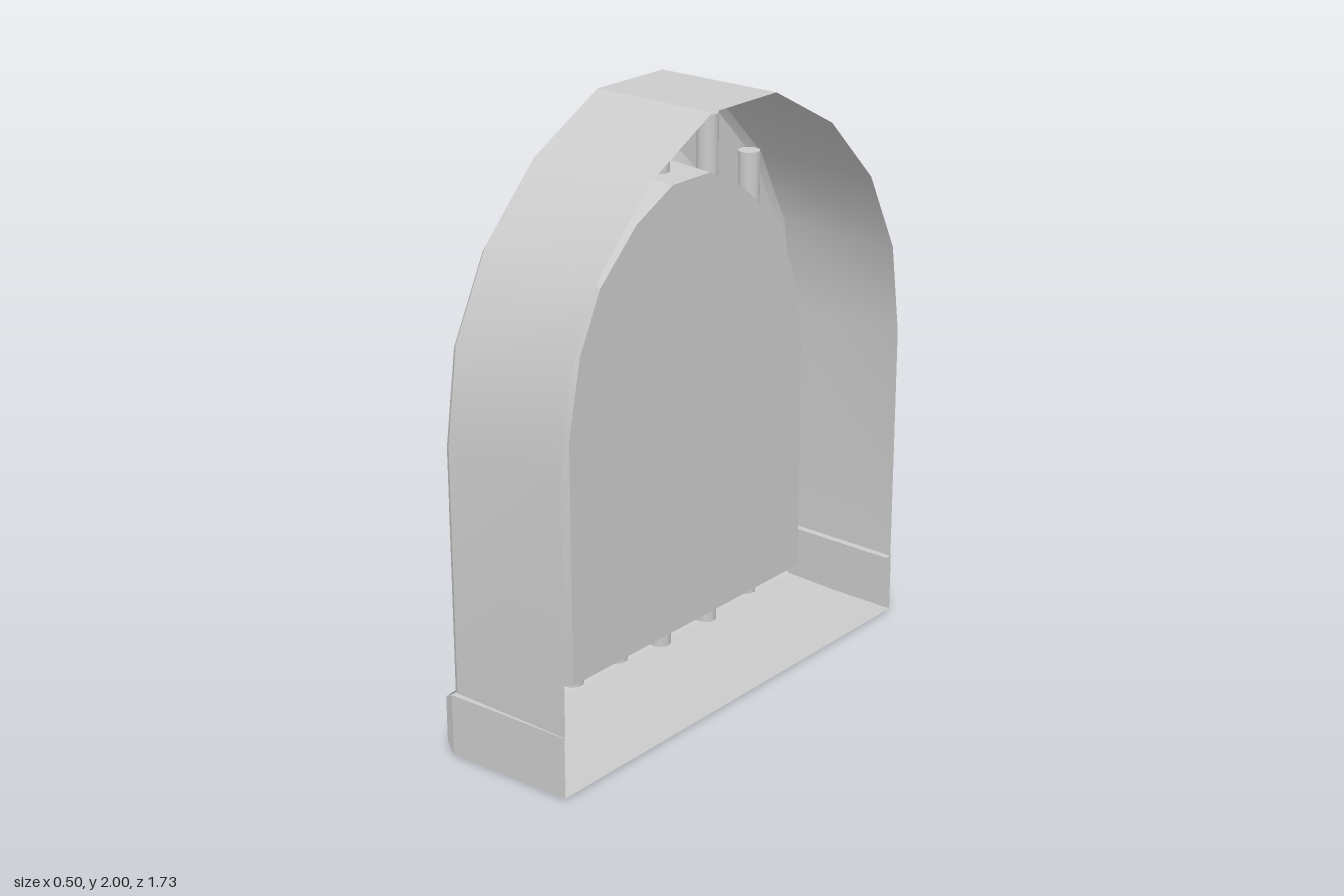
import * as THREE from 'three';
import { toCreasedNormals } from 'three/addons/utils/BufferGeometryUtils.js';

const material = new THREE.MeshStandardMaterial({ color: 0xcccccc, side: THREE.DoubleSide });

// Half outlines as [z, y] from foot to crown, mirrored into a full arch
const mirror = (half) => [...half, ...half.map(([z, y]) => [-z, y]).reverse()];
const OUTER = mirror([[0.845, 0.2], [0.845, 1.04], [0.8, 1.35], [0.665, 1.62], [0.445, 1.845], [0.155, 2]]);
const INNER = mirror([[0.58, 0.21], [0.58, 1.03], [0.525, 1.29], [0.43, 1.48], [0.26, 1.64], [0.09, 1.725]]);

// Scale an outline about its foot line
const scaled = (pts, s, y0 = 0.21) => pts.map(([z, y]) => [z * s, (y - y0) * s + y0]);
// Place an outline at a depth x
const ring = (x, pts) => pts.map(([z, y]) => [x, y, z]);

// Skin a surface over rings holding equal numbers of points
function loft(rings, closed = false) {
  const n = rings[0].length, index = [];
  for (let r = 0; r < rings.length - 1; r++) {
    for (let i = 0; i < (closed ? n : n - 1); i++) {
      const a = r * n + i, b = r * n + (i + 1) % n;
      index.push(a, b, a + n, b, b + n, a + n);
    }
  }
  const g = new THREE.BufferGeometry();
  g.setAttribute('position', new THREE.Float32BufferAttribute(rings.flat(2), 3));
  g.setIndex(index);
  return toCreasedNormals(g, 0.35);
}

// Flat panel filling an outline at depth x, facing -x
function panel(x, pts) {
  const shape = new THREE.Shape(pts.map(([z, y]) => new THREE.Vector2(z, y)));
  return new THREE.ShapeGeometry(shape).rotateY(-Math.PI / 2).translate(x, 0, 0);
}

export function createModel() {
  const model = new THREE.Group();
  const add = (name, geometry, parent = model) => {
    const mesh = new THREE.Mesh(geometry, material);
    mesh.name = name;
    parent.add(mesh);
    return mesh;
  };

  // Arched surround, open at the back, with a bevelled outer edge
  add('archSurround', loft([
    ring(0.245, OUTER),
    ring(-0.205, OUTER),
    ring(-0.225, scaled(OUTER, 0.985)),
    ring(-0.225, scaled(INNER, 1.045)),
  ]));

  // Recess with a bevelled rim, closed by the pane
  add('recess', loft([
    ring(-0.225, scaled(INNER, 1.045)),
    ring(-0.185, scaled(INNER, 1.01)),
    ring(0.04, INNER),
  ], true));
  add('pane', panel(0.04, INNER));

  // Base sill: an open tray whose ends swell towards the face
  const base = new THREE.Group();
  base.name = 'baseSill';
  model.add(base);
  const tray = (w, bottom, top) =>
    [[0.82, top], [w, top], [w, bottom], [-w, bottom], [-w, top], [-0.82, top]];
  const face = tray(0.85, 0.03, 0.185);
  add('sillShell', loft([
    ring(0.245, tray(0.848, 0.005, 0.21)),
    ring(0, tray(0.855, 0, 0.21)),
    ring(-0.21, tray(0.865, 0, 0.21)),
    ring(-0.25, face),
  ]), base);
  add('sillFace', panel(-0.25, [face[1], face[2], face[3], face[4]]), base);
  add('sillLedge', loft([
    [[-0.222, 0.21, 0.85], [-0.222, 0.21, -0.85]],
    [[-0.25, 0.185, 0.85], [-0.25, 0.185, -0.85]],
  ]), base);

  // Vertical bars as [z, bottom, top]
  const bars = new THREE.Group();
  bars.name = 'bars';
  model.add(bars);
  const spans = [[0.45, 0.13, 1.7], [0.235, 0.13, 1.7], [0.015, 0.105, 1.87], [-0.225, 0.105, 1.87], [-0.44, 0.13, 1.7]];
  for (const [z, bottom, top] of spans) {
    add('bar', new THREE.CylinderGeometry(0.037, 0.037, top - bottom, 10), bars)
      .position.set(-0.08, (top + bottom) / 2, z);
  }
  return model;
}
